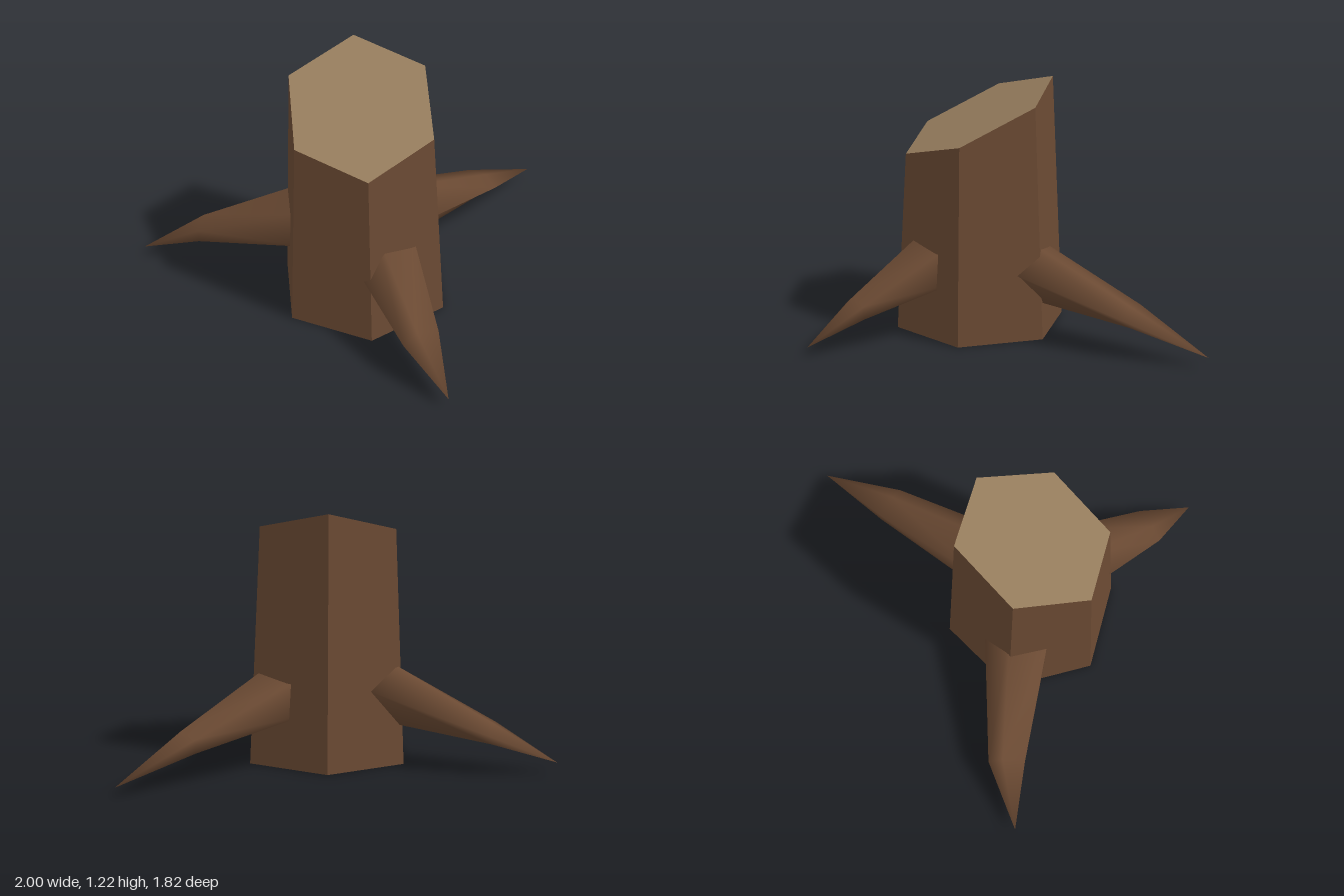
import * as THREE from 'three';

const SIDES = 6, CENTER_X = -0.25;
const R_BOTTOM = 0.425, R_TOP = 0.37;

// Height of the slanted cut at a point measured from the trunk axis
const cutHeight = (x, z) => 1.05 + 0.245 * x - 0.39 * z;

// Hexagonal trunk wall, hollow underneath, with its top ring moved onto the cut
function trunkGeometry() {
  const indexed = new THREE.CylinderGeometry(R_TOP, R_BOTTOM, 1, SIDES, 1, true, Math.PI / 6);
  const p = indexed.attributes.position;
  for (let i = 0; i < p.count; i++) {
    p.setY(i, p.getY(i) > 0 ? cutHeight(p.getX(i), p.getZ(i)) : 0);
  }
  const geo = indexed.toNonIndexed();
  geo.computeVertexNormals();
  return geo;
}

// Flat slanted cut face
function cutGeometry() {
  const geo = new THREE.CircleGeometry(R_TOP, SIDES);
  geo.rotateX(-Math.PI / 2);
  const p = geo.attributes.position;
  for (let i = 0; i < p.count; i++) p.setY(i, cutHeight(p.getX(i), p.getZ(i)));
  geo.computeVertexNormals();
  return geo;
}

// Five-sided root: base ring, flattened middle ring and a pointed tip
function rootGeometry(base, mid, tip, radius) {
  const n = 5, phase = THREE.MathUtils.degToRad(107);
  const a = new THREE.Vector3(...base), c = new THREE.Vector3(...tip);
  const along = c.clone().sub(a).setY(0).normalize();
  const side = new THREE.Vector3(0, 1, 0).cross(along);
  const positions = [], index = [];
  const ring = (center, rx, ry) => {
    for (let i = 0; i < n; i++) {
      const t = phase + (i / n) * Math.PI * 2;
      const v = new THREE.Vector3(...center).addScaledVector(side, rx * Math.cos(t));
      positions.push(v.x, v.y + ry * Math.sin(t), v.z);
    }
  };
  ring(base, radius, radius);
  ring(mid, 0.097, 0.055);
  positions.push(...tip);
  ring(base, radius, radius); // separate corners for the inner end
  for (let i = 0; i < n; i++) {
    const j = (i + 1) % n;
    index.push(i, j, n + j, i, n + j, n + i, n + i, n + j, 2 * n);
    if (i > 0 && i < n - 1) index.push(2 * n + 1, 2 * n + 2 + i, 2 * n + 1 + i);
  }
  const geo = new THREE.BufferGeometry();
  geo.setAttribute('position', new THREE.Float32BufferAttribute(positions, 3));
  geo.setIndex(index);
  geo.computeVertexNormals();
  return geo;
}

export function createModel() {
  const bark = new THREE.MeshStandardMaterial({ color: 0x6b4a33, side: THREE.DoubleSide });
  bark.name = 'bark';
  const wood = new THREE.MeshStandardMaterial({ color: 0x957c5c });
  wood.name = 'cutWood';

  const model = new THREE.Group();
  model.name = 'treeStump';
  const add = (name, geo, mat, x = 0) => {
    const mesh = new THREE.Mesh(geo, mat);
    mesh.name = name;
    mesh.position.x = x;
    model.add(mesh);
  };

  add('trunk', trunkGeometry(), bark, CENTER_X);
  add('cutTop', cutGeometry(), wood, CENTER_X);

  // Roots: base centre, middle centre, tip, base radius
  add('leftRoot', rootGeometry([-0.03, 0.352, -0.033], [0.605, 0.185, -0.163], [0.995, 0.05, -0.25], 0.168), bark);
  add('frontRoot', rootGeometry([-0.295, 0.375, 0.24], [-0.40, 0.19, 0.69], [-0.45, 0.05, 0.955], 0.17), bark);
  add('backRoot', rootGeometry([-0.40, 0.37, -0.23], [-0.763, 0.185, -0.67], [-1, 0.05, -0.955 + 0.095], 0.17), bark);
  return model;
}
